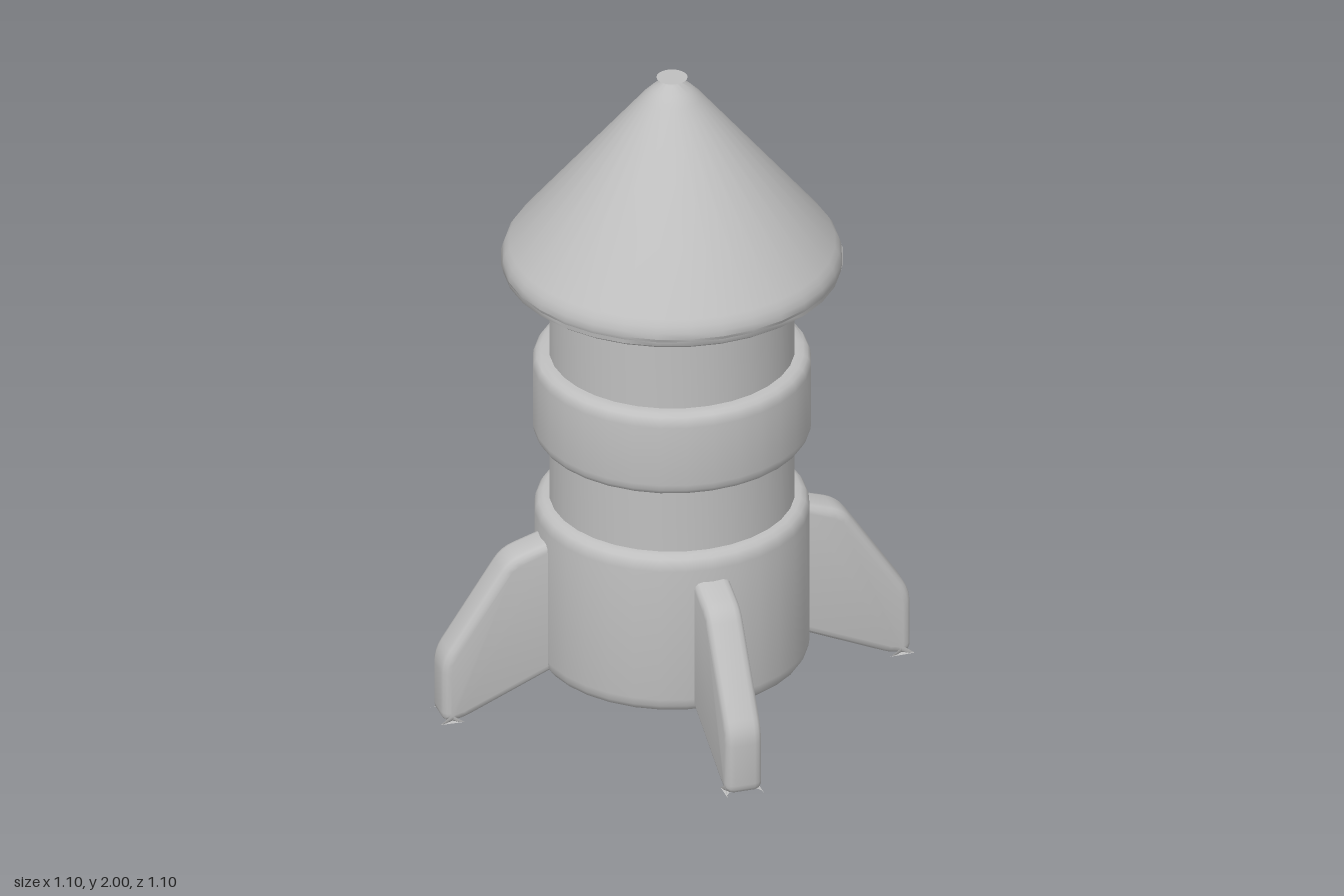
import * as THREE from 'three';
import { toCreasedNormals } from 'three/addons/utils/BufferGeometryUtils.js';

const grey = new THREE.MeshStandardMaterial({ color: 0xbfbfbf });
grey.name = 'plain grey';

// Rounds the corners of a point list [x, y, radius]
function roundedPath(path, points, closed) {
  const n = points.length;
  const v = points.map(p => new THREE.Vector2(p[0], p[1]));
  points.forEach(([x, y, r = 0], i) => {
    const end = !closed && (i === 0 || i === n - 1);
    const toward = j => v[i].clone().add(v[(j + n) % n].clone().sub(v[i]).setLength(r));
    const a = end || !r ? v[i] : toward(i - 1);
    if (i === 0) path.moveTo(a.x, a.y); else path.lineTo(a.x, a.y);
    if (!end && r) {
      const b = toward(i + 1);
      path.quadraticCurveTo(x, y, b.x, b.y);
    }
  });
  if (closed) path.closePath();
  return path;
}

function turned(name, points) {
  const profile = roundedPath(new THREE.Path(), points, false).getPoints(4);
  const mesh = new THREE.Mesh(toCreasedNormals(new THREE.LatheGeometry(profile, 32), 0.65), grey);
  mesh.name = name;
  return mesh;
}

// Cylinder with softened rims
const drum = (name, r, y0, y1, bottomRound, topRound) =>
  turned(name, [[0, y0], [r, y0, bottomRound], [r, y1, topRound], [0, y1]]);

// Swept fin lying in the radius / height plane
function finGeometry() {
  const shape = roundedPath(new THREE.Shape(), [
    [0.30, 0.155], [0.655, 0, 0.03], [0.712, 0, 0.03], [0.712, 0.20, 0.04],
    [0.51, 0.505, 0.04], [0.40, 0.54], [0.30, 0.57],
  ], true);
  const bevel = 0.025, thickness = 0.11;
  const geometry = new THREE.ExtrudeGeometry(shape, {
    depth: thickness - 2 * bevel, curveSegments: 4,
    bevelSize: bevel, bevelThickness: bevel, bevelOffset: -bevel, bevelSegments: 3,
  });
  geometry.translate(0, 0, bevel - thickness / 2);
  return toCreasedNormals(geometry, 0.65);
}

export function createModel() {
  const rocket = new THREE.Group();
  rocket.name = 'rocket';

  // Body, stacked from the bottom up
  rocket.add(
    drum('nozzle', 0.24, 0.03, 0.2, 0.025, 0),
    drum('base', 0.4, 0.105, 0.625, 0.05, 0.045),
    drum('column', 0.357, 0.55, 1.4, 0, 0),
    drum('band', 0.405, 0.83, 1.1, 0.04, 0.04),
    turned('noseCone', [[0, 1.358], [0.485, 1.358, 0.05], [0.503, 1.425, 0.045], [0.035, 2.002, 0.08], [0, 2.002]]),
  );

  // Four fins on the diagonals
  const fin = finGeometry();
  for (let i = 0; i < 4; i++) {
    const mesh = new THREE.Mesh(fin, grey);
    mesh.name = `fin${i + 1}`;
    mesh.rotation.y = Math.PI / 4 + i * Math.PI / 2;
    rocket.add(mesh);
  }
  return rocket;
}
